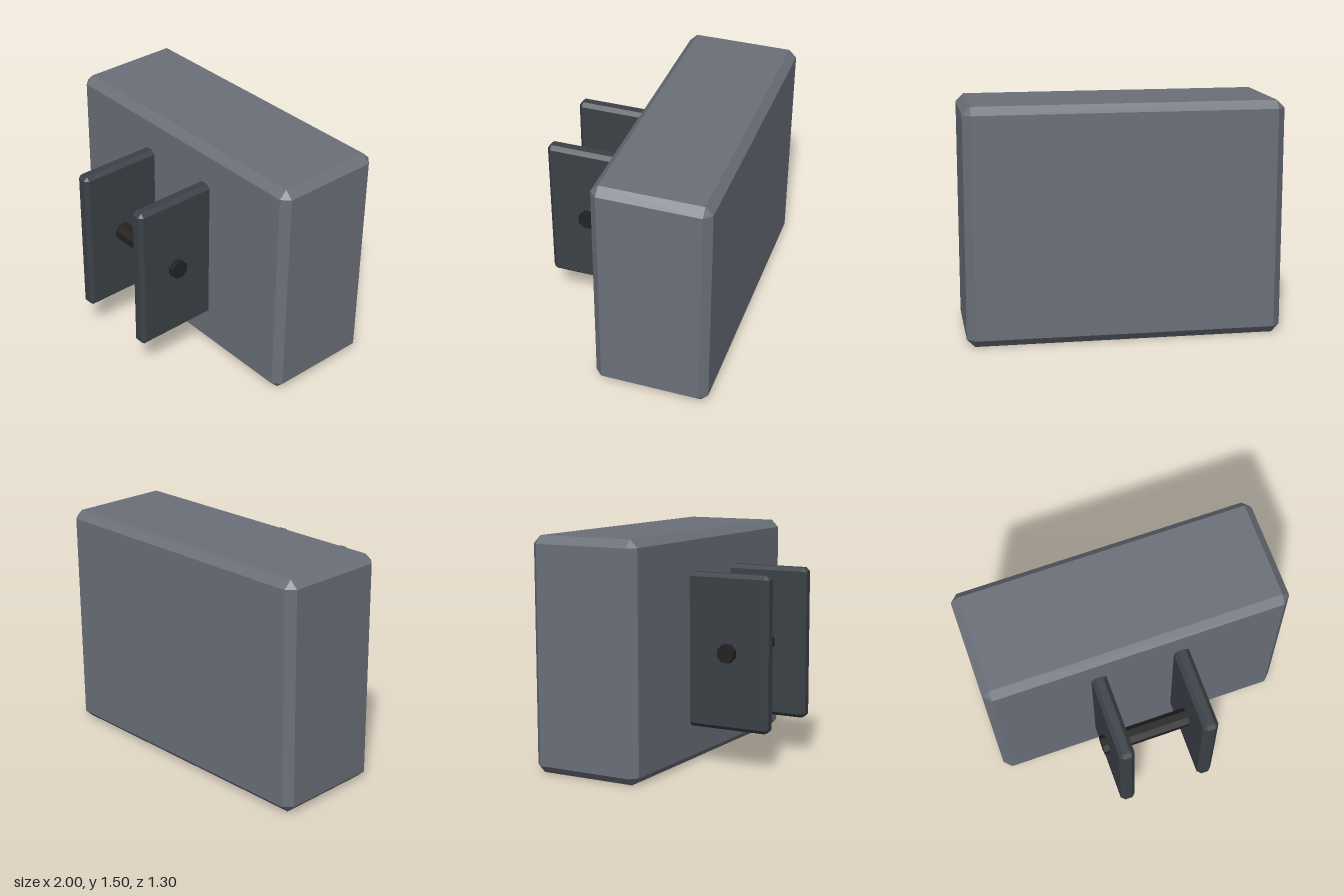
import * as THREE from 'three';
import { ConvexGeometry } from 'three/addons/geometries/ConvexGeometry.js';

// Box with a flat chamfer of size c on every edge
function chamferBox(w, h, d, c) {
  const points = [];
  const [x, y, z] = [w / 2, h / 2, d / 2];
  for (const sx of [-1, 1]) for (const sy of [-1, 1]) for (const sz of [-1, 1]) {
    points.push(
      new THREE.Vector3(sx * x, sy * (y - c), sz * (z - c)),
      new THREE.Vector3(sx * (x - c), sy * y, sz * (z - c)),
      new THREE.Vector3(sx * (x - c), sy * (y - c), sz * z),
    );
  }
  return new ConvexGeometry(points);
}

export function createModel() {
  const group = new THREE.Group();
  group.name = 'blockWithBracket';

  const material = (name, color) => {
    const m = new THREE.MeshStandardMaterial({ color, flatShading: true });
    m.name = name;
    return m;
  };
  const bodyGrey = material('bodyGrey', 0x6b7079);
  const plateGrey = material('plateGrey', 0x3b4147);
  const pinBlack = material('pinBlack', 0x222222);

  const add = (name, geometry, mat, x, y, z) => {
    const mesh = new THREE.Mesh(geometry, mat);
    mesh.name = name;
    mesh.position.set(x, y, z);
    group.add(mesh);
  };

  // Main block
  add('body', chamferBox(2, 1.5, 0.75, 0.05), bodyGrey, 0, 0.75, -0.275);

  // Pair of bracket plates, set into the front of the block
  const plate = chamferBox(0.1, 1, 0.6, 0.025);
  add('leftPlate', plate, plateGrey, 0.275, 0.75, 0.35);
  add('rightPlate', plate, plateGrey, -0.275, 0.75, 0.35);

  // Eight-sided pin through both plates, with flats on top and front
  const pin = new THREE.CylinderGeometry(0.0625, 0.0625, 0.725, 8);
  pin.rotateY(Math.PI / 8).rotateZ(Math.PI / 2);
  add('pin', pin, pinBlack, 0, 0.75, 0.375);

  return group;
}
